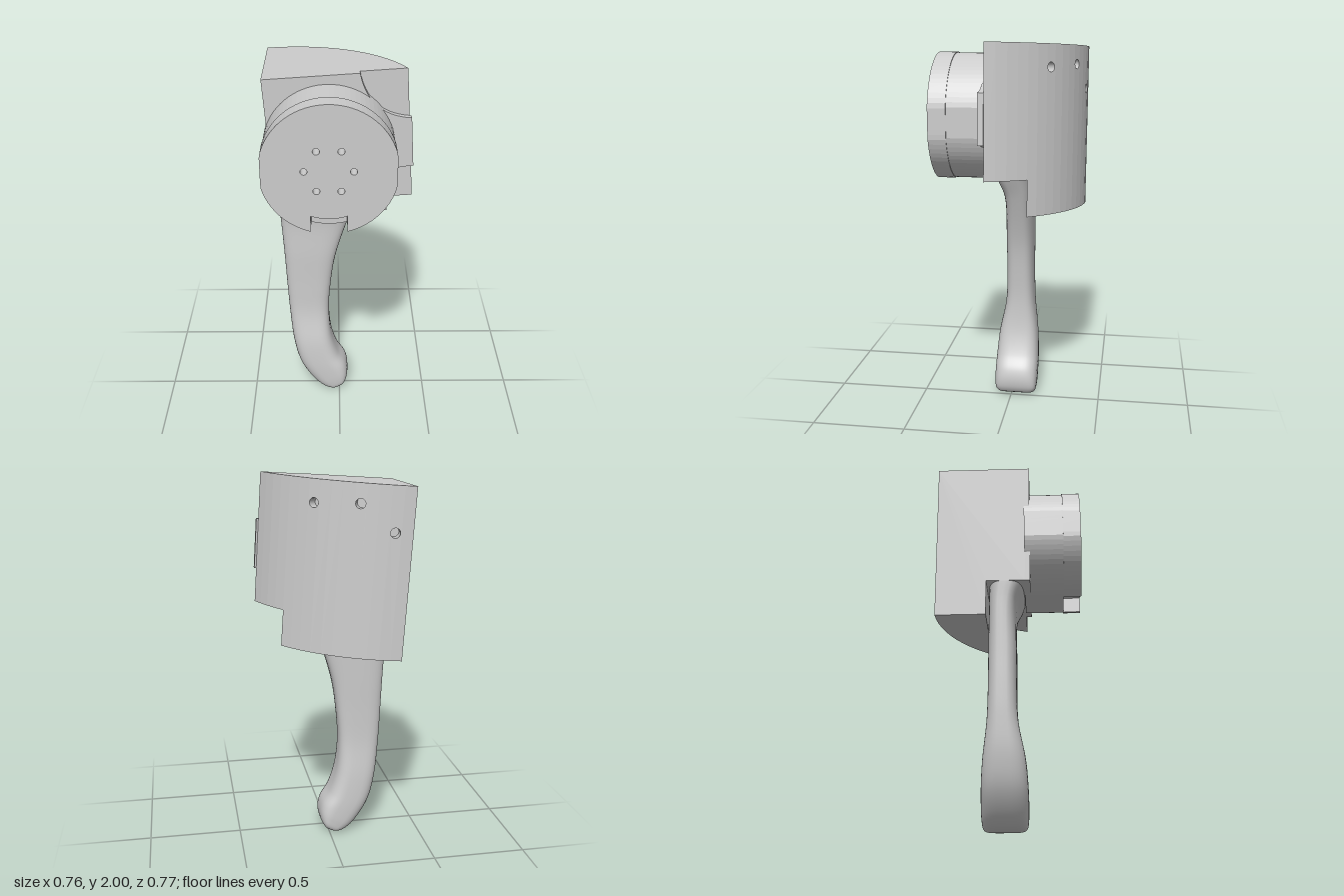
import * as THREE from 'three';

const mat = new THREE.MeshStandardMaterial({ color: 0xcccccc });
const inner = new THREE.MeshStandardMaterial({ color: 0xcccccc, side: THREE.DoubleSide });
const V2 = (x, y) => new THREE.Vector2(x, y);
const V3 = (x, y, z) => new THREE.Vector3(x, y, z);
const X = V3(1, 0, 0), Y = V3(0, 1, 0), Z = V3(0, 0, 1);

function add(parent, name, geo, material = mat) {
  const m = new THREE.Mesh(geo, material);
  m.name = name;
  parent.add(m);
  return m;
}

const circlePath = (x, y, r) => new THREE.Path().absarc(x, y, r, 0, Math.PI * 2, true);

// Flat face: a 2D outline laid on the axes ax, ay; it faces ax cross ay
function face(parent, name, pts, ax, ay, origin, hole) {
  const shape = new THREE.Shape(pts.map(p => V2(p[0], p[1])));
  if (hole) shape.holes.push(hole);
  const geo = new THREE.ShapeGeometry(shape, 10);
  geo.applyMatrix4(new THREE.Matrix4().makeBasis(ax, ay, ax.clone().cross(ay)).setPosition(origin));
  return add(parent, name, geo);
}

// Sector-shaped housing with a curved back, tilted; its top left edge is the local origin
function makeHousing() {
  const g = new THREE.Group();
  g.name = 'housing';
  const R = 0.774, C = 0.389, N = 15, SPLIT = 11, FRONT = 0.085, LOW = -0.877, STEP = -0.685;
  const dPhi = Math.asin(0.712 / R) / N;
  const arc = (a, b) => Array.from({ length: b - a + 1 }, (_, i) =>
    [R * Math.sin((a + i) * dPhi), C - R * Math.cos((a + i) * dPhi)]);
  const flip = pts => pts.map(([x, z]) => [x, -z]);
  const notch = arc(SPLIT, SPLIT)[0];

  // Curved back in flat strips, three of them with a screw hole
  const holes = { 1: -0.23, 4: -0.1, 8: -0.117 };
  const half = R * Math.sin(dPhi / 2), flat = R * Math.cos(dPhi / 2);
  for (let i = 0; i < N; i++) {
    const phi = (i + 0.5) * dPhi, low = i < SPLIT ? LOW : STEP;
    const n = V3(Math.sin(phi), 0, -Math.cos(phi));
    const t = V3(-Math.cos(phi), 0, -Math.sin(phi));
    const p = V3(0, 0, C).addScaledVector(n, flat);
    const v = holes[i];
    face(g, 'curvedBack', [[-half, low], [half, low], [half, 0], [-half, 0]], t, Y, p,
      v && circlePath(0, v, 0.025));
    if (v) {
      const h = new THREE.Group();
      h.name = 'screwHole';
      h.position.copy(p).setY(v);
      h.quaternion.setFromUnitVectors(Y, n);
      add(h, 'holeWall', new THREE.CylinderGeometry(0.025, 0.025, 0.06, 20, 1, true).translate(0, -0.03, 0), inner);
      add(h, 'holeFloor', new THREE.CircleGeometry(0.025, 20).rotateX(-Math.PI / 2).translate(0, -0.06, 0), inner);
      g.add(h);
    }
  }
  // Top, underside, step and flat sides
  face(g, 'top', flip([[0, FRONT], ...arc(0, N)]), X, V3(0, 0, -1), V3(0, 0, 0));
  face(g, 'underside', [[0, notch[1]], ...arc(0, SPLIT)], X, Z, V3(0, LOW, 0));
  face(g, 'stepCeiling', [[0, FRONT], [0, notch[1]], ...arc(SPLIT, N)], X, Z, V3(0, STEP, 0));
  face(g, 'stepWall', [[0, LOW], [notch[0], LOW], [notch[0], STEP], [0, STEP]], X, Y, V3(0, 0, notch[1]));
  face(g, 'sideWall', [[C - R, 0], [C - R, LOW], [notch[1], LOW], [notch[1], STEP], [FRONT, STEP], [FRONT, 0]],
    Z, Y, V3(0, 0, 0));
  face(g, 'frontWall', [[0, STEP], [0.712, STEP], [0.712, 0], [0, 0]], X, Y, V3(0, 0, FRONT));

  // Front plate with scooped corners
  const s = new THREE.Shape();
  s.moveTo(0, 0);
  s.lineTo(0, STEP);
  s.lineTo(0.49, STEP);
  s.quadraticCurveTo(0.5, -0.5, 0.722, -0.505);
  s.lineTo(0.722, -0.245);
  s.quadraticCurveTo(0.51, -0.22, 0.48, 0);
  add(g, 'frontPlate', new THREE.ExtrudeGeometry(s, { depth: 0.03, bevelEnabled: false, curveSegments: 14 })
    .translate(0, 0, FRONT));
  g.position.set(-0.38, 1.955, 0);
  g.rotation.z = 0.067;
  return g;
}

// Round hub with flattened sides, a notched front rim and a ring of six holes
function makeHub() {
  const g = new THREE.Group();
  g.name = 'hub';
  const R = 0.338, FLAT = 0.328, NOTCH = 0.09, INNER = 0.255;
  const ring = (r, a0, a1, n) => Array.from({ length: n + 1 }, (_, i) => {
    const a = a0 + (a1 - a0) * i / n;
    return V2(THREE.MathUtils.clamp(r * Math.cos(a), -FLAT, FLAT), r * Math.sin(a));
  });
  const down = -Math.PI / 2, ao = Math.asin(NOTCH / R), ai = Math.asin(NOTCH / INNER);
  const rim = new THREE.Shape([
    ...ring(R, down + ao, down + 2 * Math.PI - ao, 72),
    ...ring(INNER, down - ai, down + ai, 10),
  ]);
  for (let i = 0; i < 6; i++) {
    const a = i * Math.PI / 3;
    rim.holes.push(circlePath(0.12 * Math.cos(a), 0.12 * Math.sin(a), 0.017));
  }
  add(g, 'rim', new THREE.ExtrudeGeometry(rim, { depth: 0.095, bevelEnabled: false, curveSegments: 10 })
    .translate(0, 0, 0.295));
  const body = new THREE.Shape(ring(R, 0, Math.PI * 2, 80).slice(0, -1));
  add(g, 'body', new THREE.ExtrudeGeometry(body, { depth: 0.21, bevelEnabled: false })
    .scale(0.987, 0.987, 1).translate(0, 0, 0.085));
  g.position.set(-0.053, 1.598, 0);
  return g;
}

// Curved grip lofted through rounded sections: left x, y, right x, y, back z, front z
function makeHandle() {
  const rows = [
    [-0.34, 1.42, 0.16, 1.4, -0.11, 0.086],
    [-0.335, 1.3, 0.11, 1.28, -0.11, 0.082],
    [-0.323, 1.17, 0.065, 1.17, -0.11, 0.042],
    [-0.305, 0.9, -0.02, 0.9, -0.11, 0.04],
    [-0.295, 0.7, -0.05, 0.7, -0.11, 0.04],
    [-0.285, 0.53, -0.06, 0.53, -0.115, 0.047],
    [-0.265, 0.33, -0.045, 0.36, -0.135, 0.082],
    [-0.23, 0.19, -0.007, 0.24, -0.143, 0.093],
    [-0.17, 0.085, 0.035, 0.17, -0.145, 0.095],
    [-0.11, 0.022, 0.048, 0.115, -0.143, 0.093],
    [-0.06, 0.002, 0.043, 0.065, -0.135, 0.085],
    [-0.02, 0.008, 0.026, 0.032, -0.11, 0.06],
    [0.004, 0.018, 0.006, 0.02, -0.06, 0.01],
  ];
  const spline = f => new THREE.CatmullRomCurve3(rows.map(f));
  const left = spline(r => V3(r[0], r[1], r[4]));
  const right = spline(r => V3(r[2], r[3], r[5]));
  const ROWS = 72, SIDES = 40, pos = [], idx = [];
  const soft = c => Math.sign(c) * Math.abs(c) ** 0.62;
  for (let j = 0; j <= ROWS; j++) {
    const a = left.getPoint(j / ROWS), b = right.getPoint(j / ROWS);
    for (let i = 0; i < SIDES; i++) {
      const t = i / SIDES * Math.PI * 2;
      const k = 0.5 + 0.5 * soft(Math.cos(t)), w = 0.5 + 0.5 * soft(Math.sin(t));
      pos.push(a.x + (b.x - a.x) * k, a.y + (b.y - a.y) * k, a.z + (b.z - a.z) * w);
      if (j < ROWS) {
        const p = j * SIDES + i, q = j * SIDES + (i + 1) % SIDES;
        idx.push(p, q, p + SIDES, q, q + SIDES, p + SIDES);
      }
    }
  }
  // Close the tip
  const tip = ROWS * SIDES;
  for (let i = 1; i < SIDES - 1; i++) idx.push(tip, tip + i, tip + i + 1);
  const geo = new THREE.BufferGeometry();
  geo.setAttribute('position', new THREE.Float32BufferAttribute(pos, 3));
  geo.setIndex(idx);
  geo.computeVertexNormals();
  const m = new THREE.Mesh(geo, inner);
  m.name = 'handle';
  return m;
}

export function createModel() {
  const model = new THREE.Group();
  model.name = 'handleAssembly';
  model.add(makeHousing(), makeHub(), makeHandle());
  return model;
}
